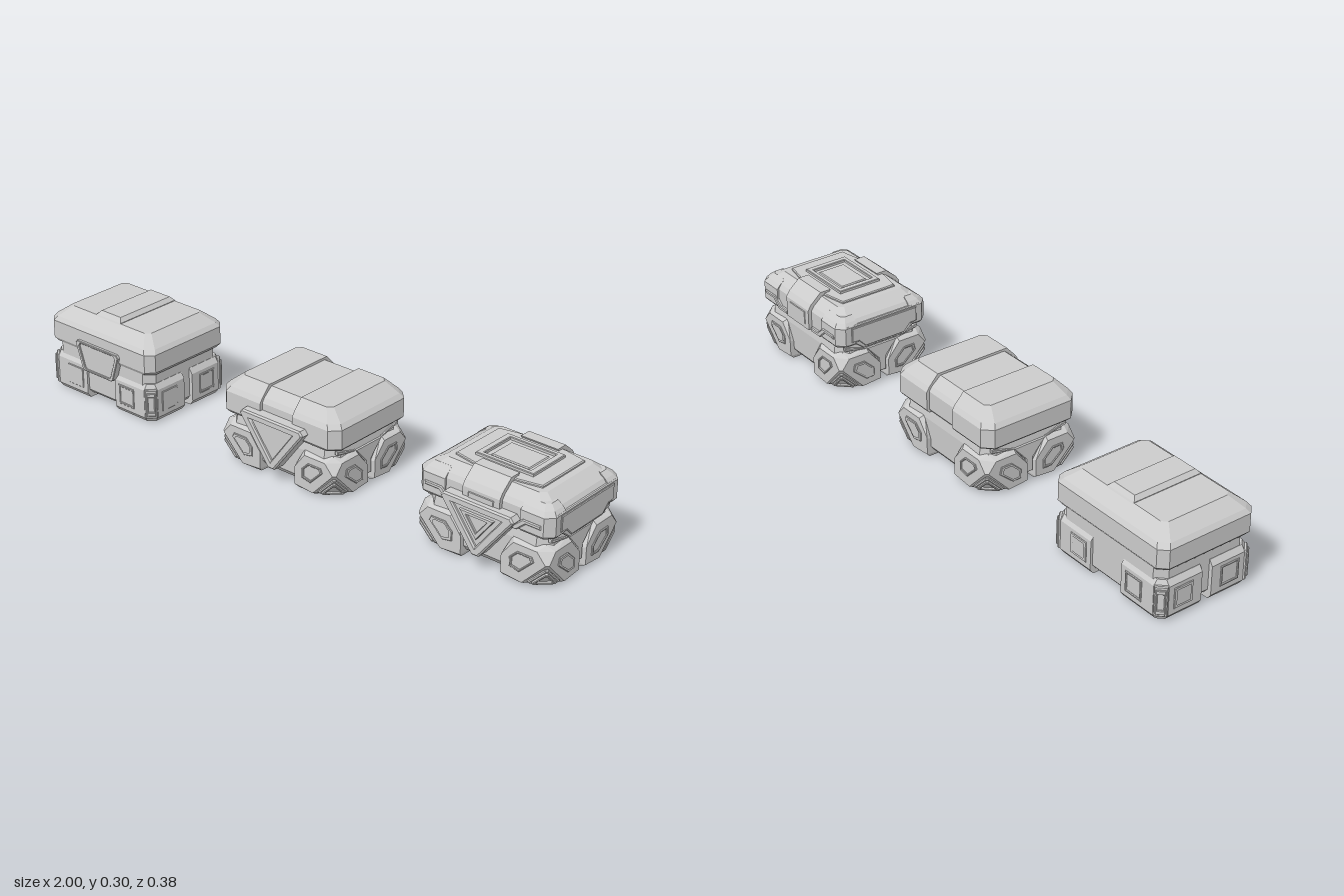
import * as THREE from 'three';
import { ConvexGeometry } from 'three/addons/geometries/ConvexGeometry.js';

const MAT = new THREE.MeshStandardMaterial({ color: 0xcccccc, flatShading: true });
const V = (x, y, z) => new THREE.Vector3(x, y, z);
const CORNERS = [[1, 1], [-1, 1], [1, -1], [-1, -1]];
const UP = V(0, 1, 0);

function add(group, name, geometry) {
  const mesh = new THREE.Mesh(geometry, MAT);
  mesh.name = name;
  group.add(mesh);
  return mesh;
}

const hull = (group, name, points) => add(group, name, new ConvexGeometry(points));

// Chamfered rectangle at height y
const ring = ([y, hx, hz, c]) => CORNERS.flatMap(([sx, sz]) =>
  [V(sx * hx, y, sz * (hz - c)), V(sx * (hx - c), y, sz * hz)]);
const stack = (group, name, rings) => hull(group, name, rings.flatMap(ring));

// One side of a split lid, starting at x = gap
const halfStack = (group, name, rings, s, gap) => hull(group, name, rings.flatMap(([y, hx, hz, c]) =>
  [1, -1].flatMap(k => [V(s * gap, y, k * hz), V(s * (hx - c), y, k * hz), V(s * hx, y, k * (hz - c))])));

// Bevelled plate standing on a plane; the outline is in the plane's own right/up axes
function panel(group, name, pts, depth, origin, normal, { hole, mirror = 1, bevel = 0.003 } = {}) {
  const flip = list => list.map(([x, y]) => new THREE.Vector2(x * mirror, y));
  const shape = new THREE.Shape(flip(pts));
  if (hole) shape.holes.push(new THREE.Path(flip(hole)));
  const geo = new THREE.ExtrudeGeometry(shape, {
    depth: depth - bevel, bevelSize: bevel, bevelOffset: -bevel, bevelThickness: bevel, bevelSegments: 1,
  });
  const n = normal.clone().normalize();
  const hint = Math.abs(n.y) > 0.9 ? V(0, 0, -1) : UP;
  const right = hint.clone().cross(n).normalize();
  geo.applyMatrix4(new THREE.Matrix4().makeBasis(right, n.clone().cross(right), n).setPosition(origin));
  return add(group, name, geo);
}

const rect = (w, h, x = 0, y = 0) => [[x - w, y - h], [x + w, y - h], [x + w, y + h], [x - w, y + h]];
const scaled = (pts, k) => {
  const cx = pts.reduce((a, p) => a + p[0], 0) / pts.length;
  const cy = pts.reduce((a, p) => a + p[1], 0) / pts.length;
  return pts.map(([x, y]) => [cx + (x - cx) * k, cy + (y - cy) * k]);
};
// Raised rim around a polygon
const rim = (group, name, pts, k, depth, origin, normal, mirror = 1) =>
  panel(group, name, pts, depth, origin, normal, { hole: scaled(pts, k), mirror, bevel: 0.002 });

// Triangle with blunted tips; dir 1 points up
function bluntTriangle(r, dir) {
  const tips = [0, 1, 2].map(i => {
    const a = dir * Math.PI / 2 + i * Math.PI * 2 / 3;
    return [r * Math.cos(a), r * Math.sin(a)];
  });
  return tips.flatMap((p, i) => [tips[(i + 2) % 3], tips[(i + 1) % 3]].map(q =>
    [p[0] + (q[0] - p[0]) * 0.1, p[1] + (q[1] - p[1]) * 0.1]));
}

// Plain chest with block feet and a trapezoid latch
function plainChest() {
  const g = new THREE.Group();
  stack(g, 'body', [[0.018, 0.205, 0.15, 0.03], [0.03, 0.215, 0.16, 0.03], [0.18, 0.215, 0.16, 0.03]]);
  stack(g, 'lid', [[0.165, 0.222, 0.163, 0.025], [0.178, 0.233, 0.172, 0.025], [0.238, 0.233, 0.172, 0.025],
    [0.252, 0.222, 0.162, 0.025], [0.285, 0.178, 0.122, 0.015]]);
  // Raised strip over the top
  hull(g, 'lidStrip', [[0.055, 0.24, 0.155], [0.055, 0.287, 0.122], [0.043, 0.3, 0.11]].flatMap(([x, y, z]) =>
    CORNERS.map(([sx, sz]) => V(sx * x, y, sz * z))));
  for (const [sx, sz] of CORNERS) {
    const P = (x, y, z) => V(sx * x, y, sz * z);
    hull(g, 'foot', [[0, 0.012], [0.016, 0], [0.112, 0], [0.13, 0.012]].flatMap(([y, i]) => [
      P(0.065, y, 0.018), P(0.065, y, 0.168 - i), P(0.198, y, 0.168 - i),
      P(0.228 - i, y, 0.138), P(0.228 - i, y, 0.018)]));
    rim(g, 'frontWindow', rect(0.034, 0.034, 0.117, 0.066), 0.78, 0.004, V(0, 0, sz * 0.167), V(0, 0, sz), sx * sz);
    rim(g, 'sideWindow', rect(0.034, 0.034, 0.085, 0.066), 0.78, 0.004, V(sx * 0.227, 0, 0), V(sx, 0, 0), -sx * sz);
    // Corner guard
    const corner = P(0.212, 0.066, 0.152), out = V(sx, 0, sz);
    panel(g, 'cornerGuard', rect(0.02, 0.05), 0.009, corner, out);
    rim(g, 'cornerFrame', rect(0.014, 0.04), 0.65, 0.014, corner, out);
  }
  const latch = [[-0.09, 0.205], [-0.097, 0.195], [-0.07, 0.112], [-0.062, 0.105],
    [0.062, 0.105], [0.07, 0.112], [0.097, 0.195], [0.09, 0.205]];
  panel(g, 'latch', latch, 0.022, V(0, 0, 0.155), V(0, 0, 1), { bevel: 0.004 });
  rim(g, 'latchRim', latch, 0.84, 0.027, V(0, 0, 0.155), V(0, 0, 1));
  return g;
}

// Angular base shared by the two fancier chests
function angularBase(g, detailed) {
  stack(g, 'body', [[0.016, 0.19, 0.14, 0.035], [0.035, 0.208, 0.155, 0.035],
    [0.13, 0.212, 0.158, 0.035], [0.18, 0.205, 0.15, 0.03]]);
  const E = 0.085, HX = 0.228, HZ = 0.17;
  for (const [sx, sz] of CORNERS) {
    const P = (x, y, z) => V(sx * x, y, sz * z);
    // Foot with its outer bottom corner cut off
    hull(g, 'foot', [
      P(0.07, 0.012, HZ), P(0.07, 0.07, HZ), P(0.11, 0.122, HZ), P(0.19, 0.122, HZ), P(HX, 0.088, HZ - 0.008),
      P(HX - 0.008, 0.088, HZ), P(HX - E, 0.006, HZ), P(HX, 0.006, HZ - E), P(HX, 0.122, 0.135), P(HX, 0.122, 0.06),
      P(HX, 0.07, 0.016), P(HX, 0.012, 0.016), P(0.21, 0, 0.02), P(0.074, 0, 0.02), P(0.074, 0, 0.158),
      P(HX - E, 0, 0.158), P(0.212, 0, HZ - E), P(0.1, 0.135, 0.155), P(0.2, 0.135, 0.142), P(0.212, 0.135, 0.06)]);
    const front = [[0.1, 0.045], [0.135, 0.038], [0.182, 0.085], [0.175, 0.1], [0.125, 0.1], [0.1, 0.075]];
    const side = [[0.042, 0.032], [0.072, 0.03], [0.122, 0.072], [0.116, 0.096], [0.078, 0.096], [0.042, 0.062]];
    const faces = [[front, V(0, 0, sz * (HZ - 0.001)), V(0, 0, sz), sx * sz],
      [side, V(sx * (HX - 0.001), 0, 0), V(sx, 0, 0), -sx * sz]];
    for (const [pts, at, n, m] of faces) {
      rim(g, 'footWindow', pts, 0.78, 0.005, at, n, m);
    }
    // Triangular pad on the corner cut
    const pad = P(HX - E / 3, 0.006 + E / 3, HZ - E / 3), out = V(sx, -1, sz);
    panel(g, 'cornerPad', bluntTriangle(0.058, 1), 0.007, pad, out);
    rim(g, 'cornerPadRim', bluntTriangle(0.045, 1), 0.65, 0.014, pad, out);
  }
  // Ribs and a centre plate between the feet on the sides
  for (const s of [1, -1]) {
    const at = V(s * 0.205, 0, 0), n = V(s, 0, 0);
    panel(g, 'sidePlate', [[-0.014, 0.03], [0.014, 0.03], [0.014, 0.078], [0.06, 0.132], [-0.06, 0.132], [-0.014, 0.078]],
      0.012, at, n);
    for (const m of [1, -1]) {
      panel(g, 'sideRib', [[0.045, 0.128], [0.06, 0.128], [0.14, 0.145], [0.14, 0.157]], 0.011, at, n, { mirror: m, bevel: 0.002 });
    }
  }
  // Inverted triangular latch
  const latch = [[-0.115, 0.212], [-0.127, 0.198], [-0.012, 0.048], [0.012, 0.048], [0.127, 0.198], [0.115, 0.212]];
  const inner = [[-0.085, 0.188], [0, 0.075], [0.085, 0.188]];
  panel(g, 'latch', latch, 0.04, V(0, 0, 0.15), V(0, 0, 1), { bevel: 0.008 });
  panel(g, 'latchRim', latch, 0.05, V(0, 0, 0.15), V(0, 0, 1), { hole: inner, bevel: 0.005 });
  if (detailed) rim(g, 'latchCore', scaled(inner, 0.7), 0.6, 0.047, V(0, 0, 0.15), V(0, 0, 1));
}

const lidRings = (hx, hz, top) => [[0.163, hx - 0.01, hz - 0.008, 0.03], [0.173, hx, hz, 0.03],
  [0.235, hx, hz, 0.03], [0.25, hx - 0.012, hz - 0.01, 0.028], [top, hx - 0.055, hz - 0.042, 0.015]];

// Chest with a split lid
function splitChest() {
  const g = new THREE.Group();
  angularBase(g, false);
  for (const s of [1, -1]) halfStack(g, 'lidHalf', lidRings(0.233, 0.173, 0.285), s, 0.064);
  stack(g, 'lidChannel', lidRings(0.215, 0.163, 0.277));
  return g;
}

// Chest with an armoured lid
function armouredChest() {
  const g = new THREE.Group();
  angularBase(g, true);
  stack(g, 'lid', lidRings(0.226, 0.166, 0.277));
  for (const [sx, sz] of CORNERS) {
    const P = (x, y, z) => V(sx * x, y, sz * z);
    // Corner armour over the lid edge
    hull(g, 'lidCorner', [[0.166, 0.006], [0.174, 0], [0.234, 0], [0.248, 0.012], [0.262, 0.03]].flatMap(([y, i]) => [
      P(0.13, y, 0.172 - i), P(0.208 - i * 0.6, y, 0.172 - i), P(0.232 - i, y, 0.147 - i * 0.6), P(0.232 - i, y, 0.1)]));
    panel(g, 'lidBrace', [[0.07, 0.168], [0.12, 0.168], [0.15, 0.195], [0.2, 0.195], [0.2, 0.208], [0.14, 0.208], [0.11, 0.182], [0.07, 0.182]],
      0.011, V(0, 0, sz * 0.165), V(0, 0, sz), { mirror: sx * sz });
  }
  for (const s of [1, -1]) {
    // Dropped side armour with a framed window
    const at = V(s * 0.222, 0, 0), n = V(s, 0, 0);
    panel(g, 'sideArmour', [[-0.14, 0.238], [-0.14, 0.17], [-0.11, 0.17], [-0.08, 0.146],
      [0.08, 0.146], [0.11, 0.17], [0.14, 0.17], [0.14, 0.238]], 0.01, at, n);
    const frame = [[-0.125, 0.231], [-0.125, 0.181], [-0.1, 0.181], [-0.075, 0.155],
      [0.075, 0.155], [0.1, 0.181], [0.125, 0.181], [0.125, 0.231]];
    rim(g, 'sideFrame', frame, 0.9, 0.014, at, n);
    // Clamps over the front and back edges
    hull(g, 'lidClamp', [[0.17, 0.166, 0.178], [0.24, 0.16, 0.178], [0.258, 0.14, 0.166], [0.291, 0.09, 0.128]].flatMap(([y, a, b]) =>
      [1, -1].flatMap(k => [V(k * 0.064, y, s * a), V(k * 0.064, y, s * b)])));
    panel(g, 'clampInset', rect(0.045, 0.024, 0, 0.207), 0.004, V(0, 0, s * 0.176), V(0, 0, s));
  }
  // Raised top plate with a square frame
  const top = V(0, 0.275, 0);
  panel(g, 'topPlate', [[-0.15, -0.1], [-0.075, -0.115], [0.075, -0.115], [0.15, -0.1],
    [0.15, 0.1], [0.075, 0.115], [-0.075, 0.115], [-0.15, 0.1]], 0.009, top, UP);
  rim(g, 'topFrame', rect(0.1, 0.076), 0.8, 0.018, top, UP);
  panel(g, 'topInset', rect(0.066, 0.048), 0.012, top, UP);
  return g;
}

export function createModel() {
  const model = new THREE.Group();
  model.name = 'chestSet';
  [[plainChest, 'plainChest'], [splitChest, 'splitChest'], [armouredChest, 'armouredChest']].forEach(([build, name], i) => {
    const chest = build();
    chest.name = name;
    chest.position.set((i - 1) * 0.767, 0, -0.012);
    model.add(chest);
  });
  return model;
}
